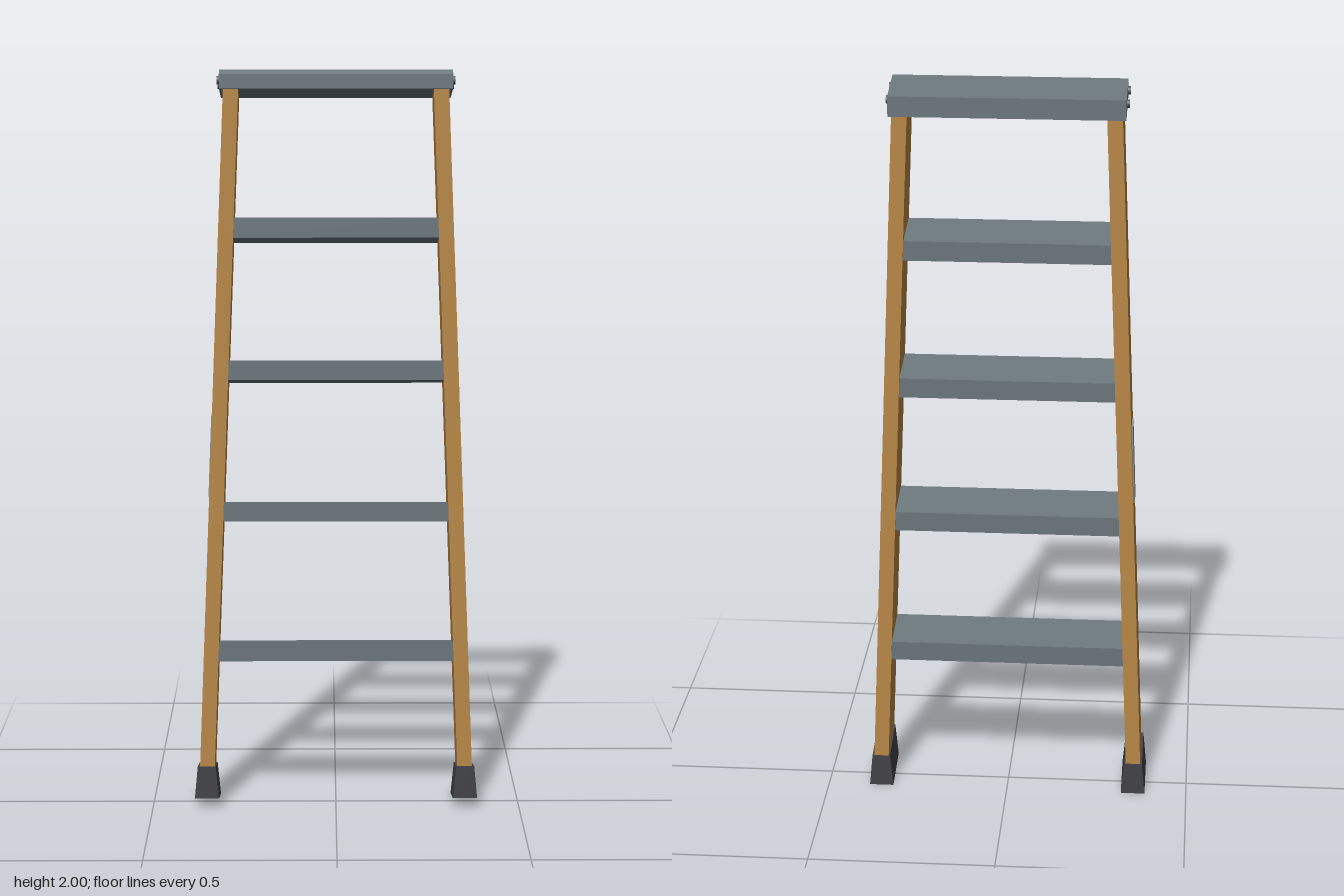
import * as THREE from 'three';

const SLOPE = 0.212; // steps, cap and feet all tip down towards the back

// Distance of a rail's centre line from the middle at height y
const railX = (y) => 0.355 - 0.041 * y;

// Box with every vertex moved by a rule: (bx, by, bz in -0.5..0.5) -> [x, y, z]
function shaped(rule) {
  const geo = new THREE.BoxGeometry(1, 1, 1);
  const p = geo.attributes.position;
  for (let i = 0; i < p.count; i++) p.setXYZ(i, ...rule(p.getX(i), p.getY(i), p.getZ(i)));
  geo.computeVertexNormals();
  return geo;
}

export function createModel() {
  const mat = (name, color) => {
    const m = new THREE.MeshStandardMaterial({ color });
    m.name = name;
    return m;
  };
  const orange = mat('fibreglass orange', 0xb88745);
  const grey = mat('step grey', 0x6a767b);
  const rubber = mat('rubber black', 0x424146);
  const steel = mat('screw steel', 0x4c565b);
  const paper = mat('label grey', 0x8c9094);

  const ladder = new THREE.Group();
  ladder.name = 'ladder';
  const add = (parent, name, geo, material) => {
    const mesh = new THREE.Mesh(geo, material);
    mesh.name = name;
    parent.add(mesh);
    return mesh;
  };

  for (const side of [-1, 1]) {
    const group = new THREE.Group();
    group.name = side > 0 ? 'leftSide' : 'rightSide';
    ladder.add(group);

    // Leaning rail with sloped ends
    add(group, 'rail', shaped((bx, by, bz) => {
      const z = bz * 0.134;
      const y = (by < 0 ? 0.05 : 1.94) + SLOPE * z;
      return [side * railX(y) + bx * 0.04, y, z];
    }), orange);

    // Rubber foot, wider at the ground
    add(group, 'foot', shaped((bx, by, bz) => {
      const z = bz * 0.138;
      const y = (by < 0 ? 0.0146 : 0.105) + SLOPE * z;
      return [side * 0.352 + bx * (by < 0 ? 0.066 : 0.049), y, z];
    }), rubber);

    // Screws through the ends of the cap
    for (const z of [-0.034, 0.042]) {
      const screw = add(group, 'screw', new THREE.CylinderGeometry(0.011, 0.011, 0.012, 12), steel);
      screw.rotation.z = Math.PI / 2;
      screw.position.set(side * 0.306, 1.963 + SLOPE * z, z);
    }
  }

  // Steps between the rails
  [1.601, 1.222, 0.839, 0.453].forEach((top, i) => {
    add(ladder, `step${4 - i}`, shaped((bx, by, bz) => {
      const z = bz * 0.126;
      const y = top + (by < 0 ? -0.053 : 0) + SLOPE * z;
      return [bx * 2 * (railX(y) - 0.018), y, z];
    }), grey);
  });

  // Top cap with a bevelled front edge
  const profile = new THREE.Shape([
    [-0.073, 1.92], [0.072, 1.951], [0.072, 1.989], [0.056, 2.0], [-0.073, 1.973],
  ].map(([z, y]) => new THREE.Vector2(z, y)));
  const cap = new THREE.ExtrudeGeometry(profile, { depth: 0.61, bevelEnabled: false });
  cap.translate(0, 0, -0.305).rotateY(-Math.PI / 2);
  add(ladder, 'topCap', cap, grey);

  // Label plate on the outside of the right rail
  add(ladder, 'label', shaped((bx, by, bz) => {
    const y = 0.97 + by * 0.22;
    return [-railX(y) - 0.02 + bx * 0.006, y, bz * 0.066 - 0.001];
  }), paper);

  return ladder;
}
